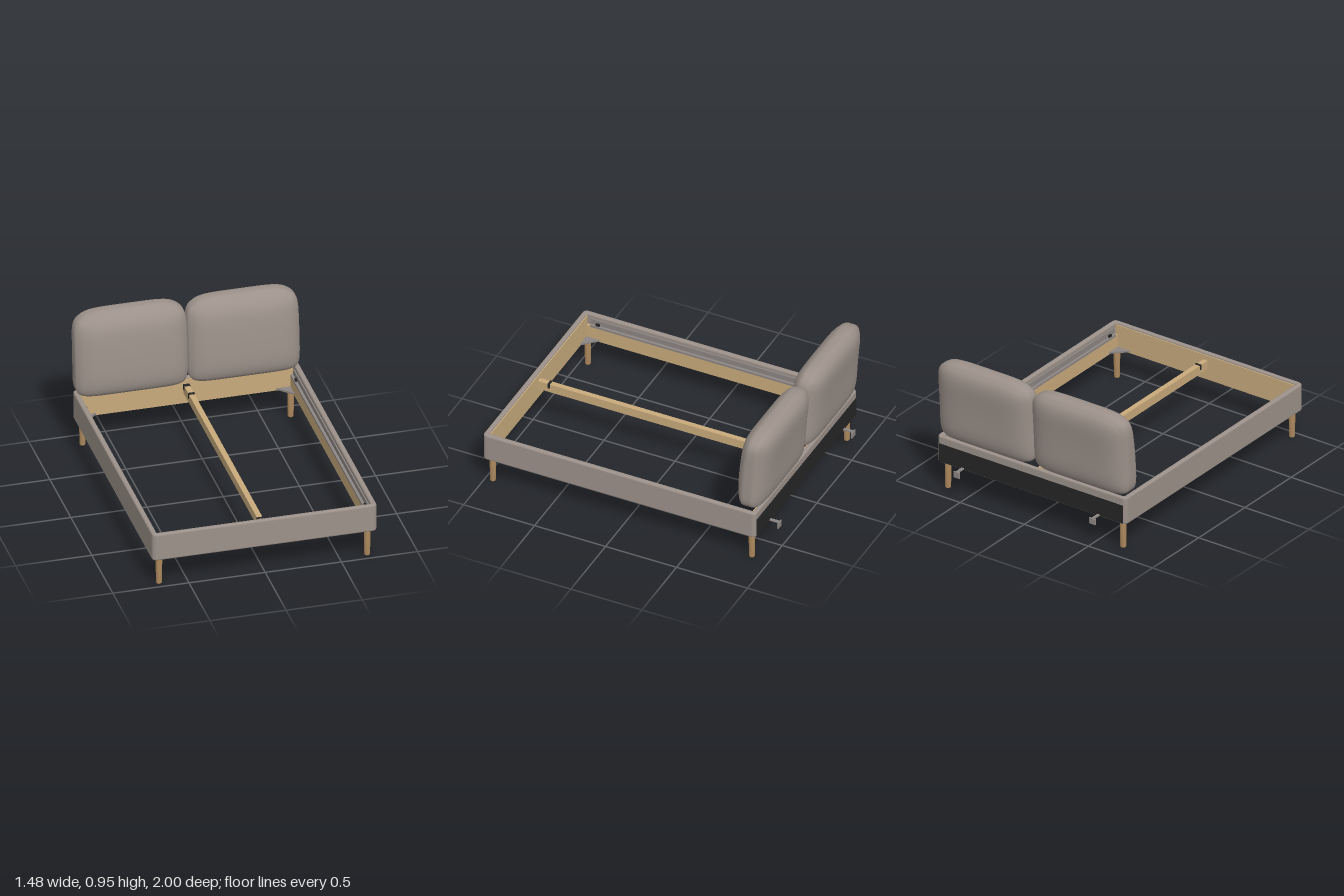
import * as THREE from 'three';
import { mergeVertices } from 'three/addons/utils/BufferGeometryUtils.js';
import { RoundedBoxGeometry } from 'three/addons/geometries/RoundedBoxGeometry.js';

const mat = (name, color) => {
  const m = new THREE.MeshStandardMaterial({ color });
  m.name = name;
  return m;
};

// Rounded rectangle in plan, shape y = -z
function roundedRect(path, x, y0, y1, r) {
  path.moveTo(-x + r, y0);
  path.lineTo(x - r, y0);
  path.absarc(x - r, y0 + r, r, -Math.PI / 2, 0);
  path.lineTo(x, y1 - r);
  path.absarc(x - r, y1 - r, r, 0, Math.PI / 2);
  path.lineTo(-x + r, y1);
  path.absarc(-x + r, y1 - r, r, Math.PI / 2, Math.PI);
  path.lineTo(-x, y0 + r);
  path.absarc(-x + r, y0 + r, r, Math.PI, Math.PI * 1.5);
  return path;
}

// Soft pillow: a cube rounded into a superellipsoid, thinned at the rim and leaned back
function pillowGeometry(x0, x1, y0, y1) {
  let g = new THREE.BoxGeometry(2, 2, 2, 28, 28, 10);
  g.deleteAttribute('normal');
  g.deleteAttribute('uv');
  g = mergeVertices(g, 1e-4);
  const p = g.attributes.position;
  for (let i = 0; i < p.count; i++) {
    const a = p.getX(i), b = p.getY(i), c = p.getZ(i);
    const n = 7.5 - 2.5 * b;
    const s = Math.pow(Math.abs(a) ** n + Math.abs(b) ** n + Math.abs(c) ** n, -1 / n);
    const u = a * s, v = b * s, w = c * s;
    const half = 0.108 * (1 - 0.5 * Math.abs(u) ** 6) * (1 - (v < 0 ? 0.32 : 0.45) * Math.abs(v) ** 5);
    const centre = -0.87 - 0.026 * v - 0.012 * v * v;
    p.setXYZ(i, (x0 + x1) / 2 + u * (x1 - x0) / 2, (y0 + y1) / 2 + v * (y1 - y0) / 2, centre + w * half);
  }
  g.computeVertexNormals();
  return g;
}

export function createModel() {
  const bed = new THREE.Group();
  bed.name = 'bed';
  const fabric = mat('greyFabric', 0x9c918a);
  const wood = mat('paleWood', 0xc8aa7c);
  const legWood = mat('legWood', 0xaa865c);
  const black = mat('blackBacking', 0x262626);
  const metal = mat('greyMetal', 0x8c8683);

  const add = (name, geo, material, x = 0, y = 0, z = 0) => {
    const m = new THREE.Mesh(geo, material);
    m.name = name;
    m.position.set(x, y, z);
    bed.add(m);
    return m;
  };
  // Box given by its limits on each axis
  const box = (name, material, x0, x1, y0, y1, z0, z1) =>
    add(name, new THREE.BoxGeometry(x1 - x0, y1 - y0, z1 - z0), material, (x0 + x1) / 2, (y0 + y1) / 2, (z0 + z1) / 2);

  // Upholstered frame
  const outline = roundedRect(new THREE.Shape(), 0.737, -0.997, 0.925, 0.03);
  outline.holes.push(roundedRect(new THREE.Path(), 0.702, -0.965, 0.895, 0.005));
  const frameGeo = new THREE.ExtrudeGeometry(outline, {
    depth: 0.168, bevelEnabled: true, bevelThickness: 0.011, bevelSize: 0.011,
    bevelOffset: -0.011, bevelSegments: 3, curveSegments: 6,
  });
  frameGeo.rotateX(-Math.PI / 2);
  add('upholsteredFrame', frameGeo, fabric, 0, 0.2, 0);

  // Wooden linings of the foot and head rails, black backing behind the head
  box('footLining', wood, -0.7, 0.7, 0.195, 0.365, 0.958, 0.968);
  box('headLining', wood, -0.7, 0.7, 0.195, 0.365, -0.898, -0.885);
  box('headBacking', black, -0.715, 0.715, 0.198, 0.325, -0.929, -0.921);

  // Headboard pillows
  add('rightPillow', pillowGeometry(-0.745, -0.004, 0.383, 0.953), fabric);
  add('leftPillow', pillowGeometry(-0.004, 0.73, 0.383, 0.948), fabric);

  // Centre beam with its end clamps
  box('centreBeam', wood, -0.018, 0.018, 0.27, 0.33, -0.886, 0.96);
  for (const [z, w] of [[-0.76, 0.02], [0.88, 0.015], [-0.872, 0.026]])
    box('beamClamp', black, -0.021, 0.021, 0.3, 0.334, z - w / 2, z + w / 2);

  const tri = new THREE.Shape([new THREE.Vector2(0, 0), new THREE.Vector2(0.1, 0), new THREE.Vector2(0, 0.1)]);
  const triGeo = new THREE.ExtrudeGeometry(tri, { depth: 0.012, bevelEnabled: false });
  triGeo.rotateX(-Math.PI / 2);

  const legProfile = [[0, 0], [0.016, 0], [0.019, 0.006], [0.022, 0.2], [0, 0.2]];
  const legGeo = new THREE.LatheGeometry(legProfile.map(([r, y]) => new THREE.Vector2(r, y)), 20);

  for (const s of [-1, 1]) {
    const span = (name, m, a, b, ...rest) => box(name, m, Math.min(a * s, b * s), Math.max(a * s, b * s), ...rest);
    // Side rail lining and slat ledge
    span('sideLining', wood, 0.684, 0.703, 0.195, 0.3, -0.89, 0.962);
    span('slatLedge', metal, 0.676, 0.703, 0.3, 0.314, -0.86, 0.93);
    span('ledgeUpright', metal, 0.694, 0.703, 0.314, 0.35, -0.86, 0.93);
    for (const z of [-0.77, 0.88])
      span('ledgeBracket', black, 0.682, 0.7, 0.314, 0.33, z - 0.012, z + 0.012);

    // Legs and triangular corner plates
    for (const [z, turnLeft, turnRight, cornerZ] of [
      [0.948, Math.PI / 2, 0, 0.96], [-0.876, Math.PI, -Math.PI / 2, -0.887]]) {
      add('leg', legGeo, legWood, s * 0.683, 0, z);
      const plate = add('cornerPlate', triGeo, metal, s * 0.69, 0.2, cornerZ);
      plate.rotation.y = s > 0 ? turnLeft : turnRight;
    }

    // Hooks behind the head rail
    const x = s * 0.53;
    box('hookArm', metal, x - 0.01, x + 0.01, 0.2, 0.208, -0.99, -0.915);
    add('hookPlate', new RoundedBoxGeometry(0.05, 0.045, 0.01, 2, 0.004), metal, x, 0.186, -0.995);
  }
  return bed;
}
